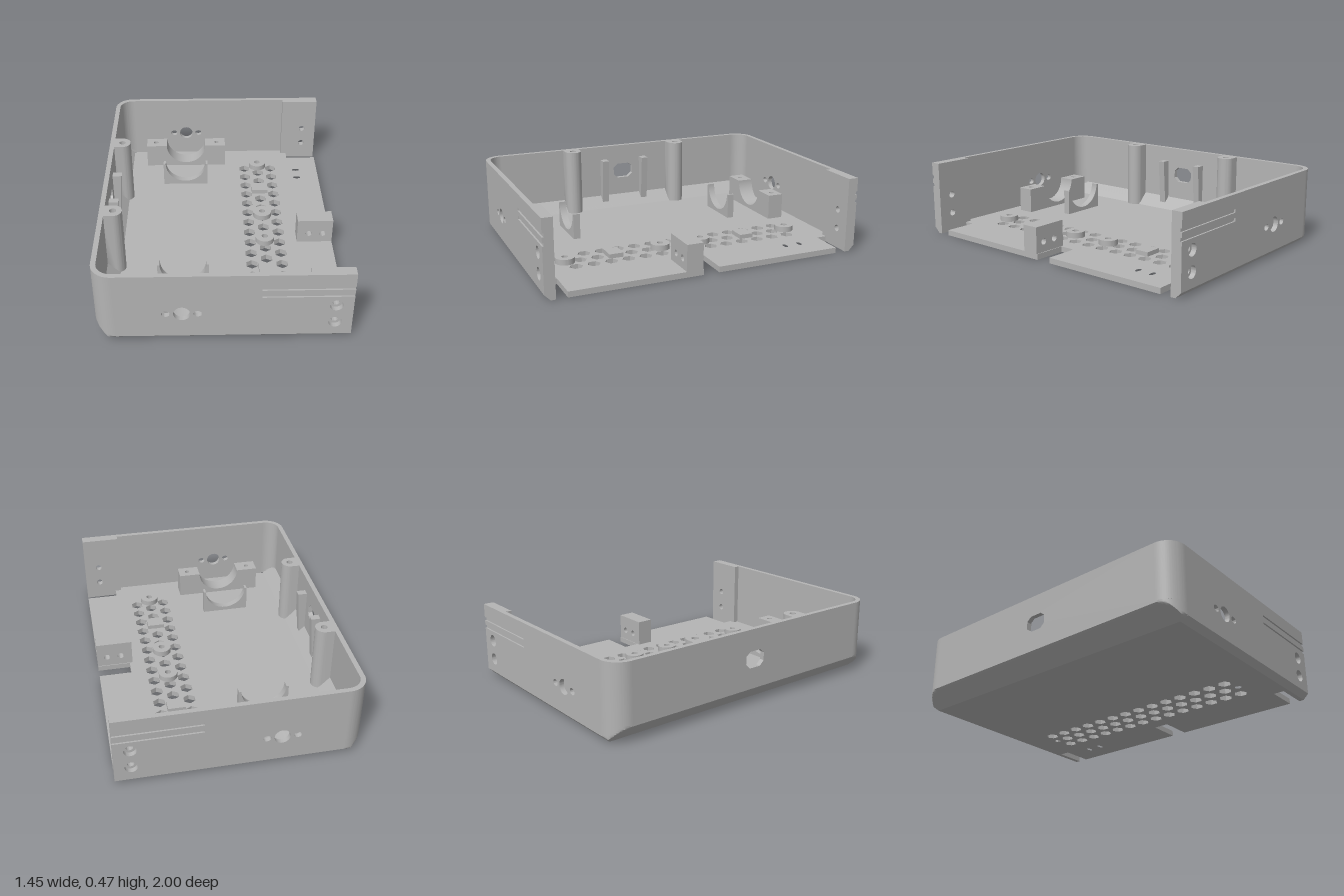
import * as THREE from 'three';
import { toCreasedNormals } from 'three/addons/utils/BufferGeometryUtils.js';

const grey = new THREE.MeshStandardMaterial({ color: 0xb4b4b4 });
grey.name = 'greyPlastic';

const XB = 0.727, TOP = 0.47, FLOOR = 0.035, XC = -0.607, ZC = 0.88;

export function createModel() {
  const group = new THREE.Group();

  const add = (name, geo) => {
    const mesh = new THREE.Mesh(toCreasedNormals(geo, 0.6), grey);
    mesh.name = name;
    group.add(mesh);
    return mesh;
  };
  const poly = (pts) => new THREE.Shape(pts.map(([a, b]) => new THREE.Vector2(a, b)));
  const rect = (a0, b0, a1, b1) => poly([[a0, b0], [a1, b0], [a1, b1], [a0, b1]]);
  const hole = (shape, x, y, rx, ry = rx) => {
    const p = new THREE.Path();
    p.absellipse(x, y, rx, ry, 0, Math.PI * 2, true);
    shape.holes.push(p);
    return shape;
  };
  const extrude = (shape, depth) =>
    new THREE.ExtrudeGeometry(shape, { depth, bevelEnabled: false, curveSegments: 20 });
  // shape in x,y pushed along z
  const alongZ = (name, shape, z0, z1) => add(name, extrude(shape, z1 - z0).translate(0, 0, z0));
  // shape in x,-z pushed upwards
  const upward = (name, shape, y0, y1) =>
    add(name, extrude(shape, y1 - y0).rotateX(-Math.PI / 2).translate(0, y0, 0));
  // shape in z,y pushed from x1 back to x0
  const alongX = (name, shape, x0, x1) =>
    add(name, extrude(shape, x1 - x0).rotateY(-Math.PI / 2).translate(x1, 0, 0));

  // Floor with end notches, vent holes and slots
  const half = [[-0.627, 0.965], [XB, 0.965], [XB, 0.935], [0.52, 0.935], [0.52, 0.868], [XB, 0.868]];
  const floor = poly([
    ...half, [XB, 0.055], [0.52, 0.055], [0.52, -0.045], [XB, -0.045],
    ...half.map(([x, z]) => [x, -z]).reverse(),
  ]);
  const hex = (x, z) => {
    const pts = [];
    for (let i = 0; i < 6; i++) {
      const a = Math.PI / 6 + i * Math.PI / 3;
      pts.push(new THREE.Vector2(x + 0.041 * Math.cos(a), -z + 0.041 * Math.sin(a)));
    }
    floor.holes.push(new THREE.Path(pts));
  };
  for (let i = 0; i < 14; i++) {
    const z = -0.72 + i * 0.11;
    hex(0.197, z);
    hex(0.387, z);
    if (i < 13) hex(0.292, z + 0.055);
  }
  for (const z of [-0.755, 0.75]) hole(floor, 0.292, -z, 0.02);
  for (const z of [-0.698, -0.598]) hole(floor, 0.572, -z, 0.026, 0.013);
  upward('floor', floor, 0, FLOOR);

  // Lower back edge: rounded plan clipped by the sloping planes
  const loft = (name, radius, y0, xAt, zAt, inside) => {
    const plan = [];
    for (let i = 0; i <= 16; i++) {
      const a = (i / 16) * Math.PI / 2;
      plan.push([XC - radius * Math.sin(a) , ZC + radius * Math.cos(a)]);
    }
    // plan runs round both corners
    plan.push(...plan.map(([x, z]) => [x, -z]).reverse());
    const pos = [], levels = 12;
    const at = (j, i) => {
      const y = y0 + (0.11 - y0) * j / levels, zl = zAt(y);
      return [Math.max(plan[i][0], xAt(y)), y, THREE.MathUtils.clamp(plan[i][1], -zl, zl)];
    };
    for (let j = 0; j < levels; j++) for (let i = 0; i < plan.length - 1; i++) {
      const a = at(j, i), b = at(j, i + 1), c = at(j + 1, i + 1), d = at(j + 1, i);
      pos.push(...(inside ? [a, b, c, a, c, d] : [a, c, b, a, d, c]).flat());
    }
    const geo = new THREE.BufferGeometry();
    geo.setAttribute('position', new THREE.Float32BufferAttribute(pos, 3));
    geo.computeVertexNormals();
    add(name, geo);
  };
  loft('lowerBackOutside', 0.12, 0, (y) => -0.627 - y, (y) => Math.min(1, 0.965 + y), false);
  loft('lowerBackInside', 0.09, FLOOR, (y) => -0.587 - y, () => 0.97, true);

  // Back wall with an eight-sided window
  const back = rect(-ZC, 0.11, ZC, TOP);
  back.holes.push(new THREE.Path([[-0.07, 0.26], [-0.07, 0.31], [-0.04, 0.335], [0.04, 0.335],
    [0.07, 0.31], [0.07, 0.26], [0.04, 0.232], [-0.04, 0.232]].map(([a, b]) => new THREE.Vector2(a, b))));
  alongX('backWall', back, -XB, -0.697);

  // Side wall outline, optionally with the two long grooves cut in from the open end
  const wallShape = (grooves) => {
    const pts = [[XC, FLOOR], [XB, FLOOR]];
    if (grooves) for (const y of [0.312, 0.363])
      pts.push([XB, y], [0.215, y], [0.215, y + 0.021], [XB, y + 0.021]);
    const s = poly([...pts, [XB, TOP], [XC, TOP]]);
    hole(s, -0.23, 0.2, 0.047);
    for (const x of [-0.32, -0.14]) hole(s, x, 0.2, 0.024, 0.02);
    for (const y of [0.125, 0.248]) hole(s, 0.63, y, 0.037);
    return s;
  };

  for (const s of [1, -1]) {
    const layer = (name, shape, za, zb) =>
      alongZ(name, shape, Math.min(s * za, s * zb), Math.max(s * za, s * zb));

    // Side wall in layers: grooved skin, core, thick end pad
    layer('sideWallSkin', wallShape(true), 0.99, 1);
    layer('sideWallCore', wallShape(false), 0.97, 0.99);
    const pad = rect(0.48, FLOOR, XB, TOP);
    for (const y of [0.125, 0.248]) hole(pad, 0.63, y, 0.021);
    layer('endPad', pad, 0.935, 0.97);
    alongX('bottomChamfer', poly([[s * 0.965, 0], [s, FLOOR], [s * 0.965, FLOOR]]), XC, XB);

    // Rounded upper corner
    const corner = new THREE.Shape();
    corner.absarc(XC, s * ZC, 0.12, s * Math.PI / 2, Math.PI, s < 0);
    corner.absarc(XC, s * ZC, 0.09, Math.PI, s * Math.PI / 2, s > 0);
    // the second arc starts on the left and returns to the side wall
    upward('roundedCorner', corner, 0.11, TOP);

    // Screw post, cut to the slope at its foot
    const pz = s * 0.388;
    const post = new THREE.Shape();
    post.moveTo(-0.705, pz - 0.055);
    post.lineTo(-0.645, pz - 0.055);
    post.absarc(-0.645, pz, 0.055, -Math.PI / 2, Math.PI / 2, false);
    post.lineTo(-0.705, pz + 0.055);
    hole(post, -0.645, pz, 0.021);
    const postGeo = extrude(post, TOP - FLOOR).rotateX(-Math.PI / 2).translate(0, FLOOR, 0);
    const p = postGeo.attributes.position;
    for (let i = 0; i < p.count; i++)
      if (p.getY(i) < 0.1) p.setY(i, Math.max(0.033, -0.607 - p.getX(i)));
    postGeo.computeVertexNormals();
    add('screwPost', postGeo);

    // Tapered rail beside the window
    layer('windowRail', poly([[-0.7, 0.1], [-0.67, 0.07], [-0.66, 0.07], [-0.637, 0.375], [-0.7, 0.375]]),
      0.125, 0.17);

    // Cradles with a half-round seat
    const cradle = (x0, x1) => {
      const c = new THREE.Shape();
      c.moveTo(x0, FLOOR);
      c.lineTo(x1, FLOOR);
      c.lineTo(x1, 0.2);
      c.lineTo(-0.09, 0.2);
      c.absarc(-0.23, 0.2, 0.14, 0, -Math.PI, true);
      c.lineTo(x0, 0.2);
      return c;
    };
    layer('thinCradle', cradle(-0.385, -0.075), 0.533, 0.577);
    layer('wideCradle', cradle(-0.38, -0.08), 0.78, 0.885);
    for (const [x0, x1, hx] of [[-0.515, -0.38, -0.45], [-0.08, 0.055, -0.006]])
      upward('cradleEar', hole(rect(x0, s * 0.8325 - 0.0525, x1, s * 0.8325 + 0.0525), hx, s * 0.8325, 0.016),
        FLOOR, 0.2);

    // Low support pad
    upward('supportPad', rect(0.237, s * 0.445 - 0.045, 0.347, s * 0.445 + 0.045), 0.03, 0.062);
  }

  // Round mounting bosses
  for (const z of [-0.755, -0.14, 0.135, 0.75]) {
    const ring = new THREE.Shape();
    ring.absarc(0.292, -z, 0.06, 0, Math.PI * 2, false);
    upward('mountingBoss', hole(ring, 0.292, -z, 0.02), 0.033, 0.07);
  }

  // Bracket at the open end
  const bracket = rect(0.5, 0.02, XB, 0.2);
  for (const x of [0.575, 0.665]) hole(bracket, x, 0.1, 0.02);
  alongZ('endBracket', bracket, 0.05, 0.155);

  return group;
}
